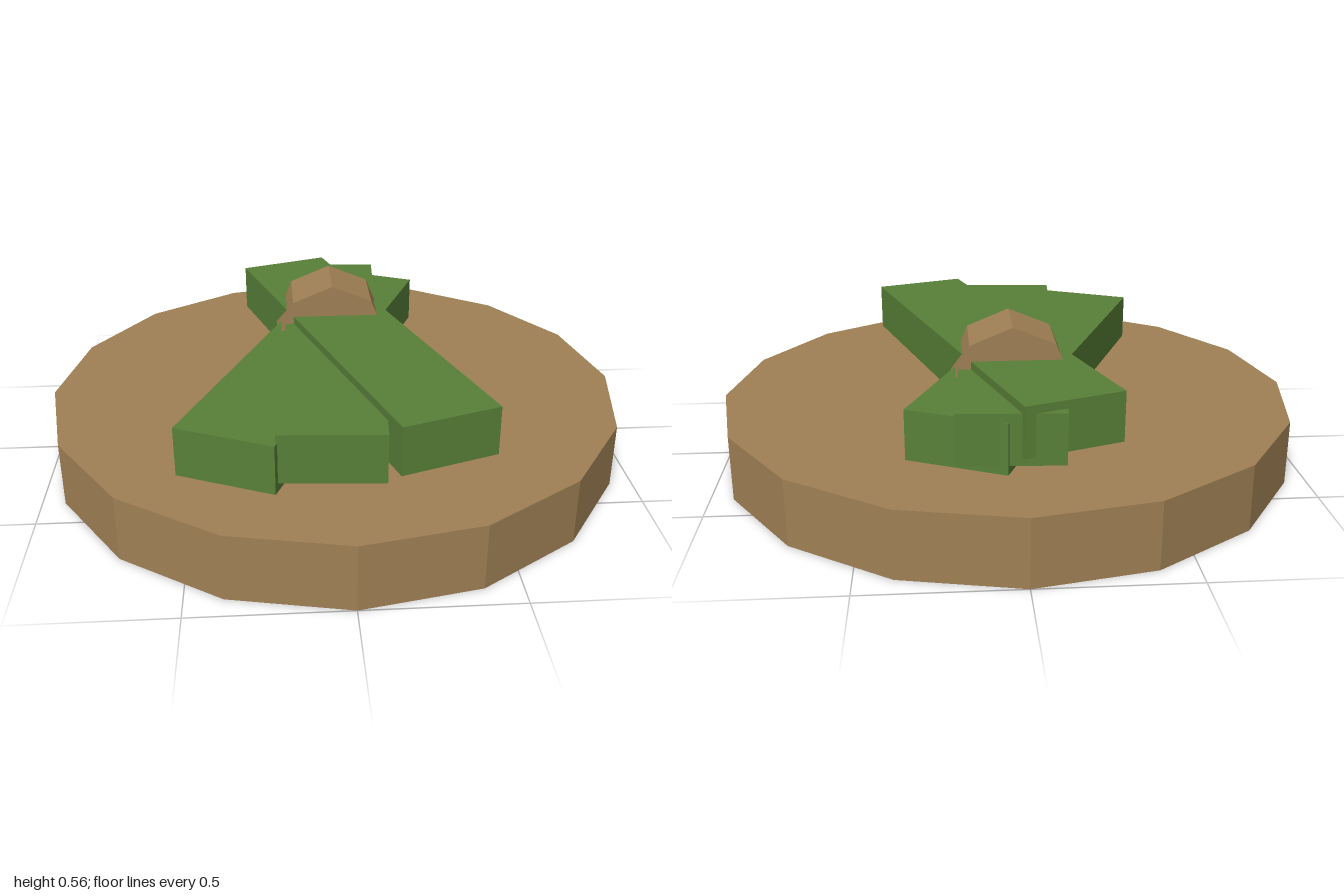
import * as THREE from 'three';

export function createModel() {
  const model = new THREE.Group();
  const brown = new THREE.MeshStandardMaterial({ color: 0xa08055, flatShading: true });
  brown.name = 'brown wood';
  const green = new THREE.MeshStandardMaterial({ color: 0x588038, flatShading: true });
  green.name = 'leaf green';

  const add = (name, geometry, material, x, y, z) => {
    const mesh = new THREE.Mesh(geometry, material);
    mesh.name = name;
    mesh.position.set(x, y, z);
    model.add(mesh);
    return mesh;
  };

  // Sixteen-sided round base
  add('base', new THREE.CylinderGeometry(1, 1, 0.222, 16), brown, 0, 0.111, 0);

  // Fanned stack of stalks: x, centre height, turn about y
  const stalk = new THREE.BoxGeometry(0.334, 0.166, 1.444);
  [
    ['lowerStalk', -0.09, 0.306, -0.408],
    ['middleStalk', -0.01, 0.334, -0.06],
    ['upperStalk', 0.074, 0.361, 0.333],
  ].forEach(([name, x, y, turn]) => {
    add(name, stalk, green, x, y, -0.003).rotation.y = turn;
  });

  // Octagonal tie wrapped round the bundle, lying along z
  const tie = new THREE.CylinderGeometry(0.2, 0.2, 0.222, 8).rotateX(Math.PI / 2);
  add('tie', tie, brown, 0, 0.356, -0.222);

  return model;
}
